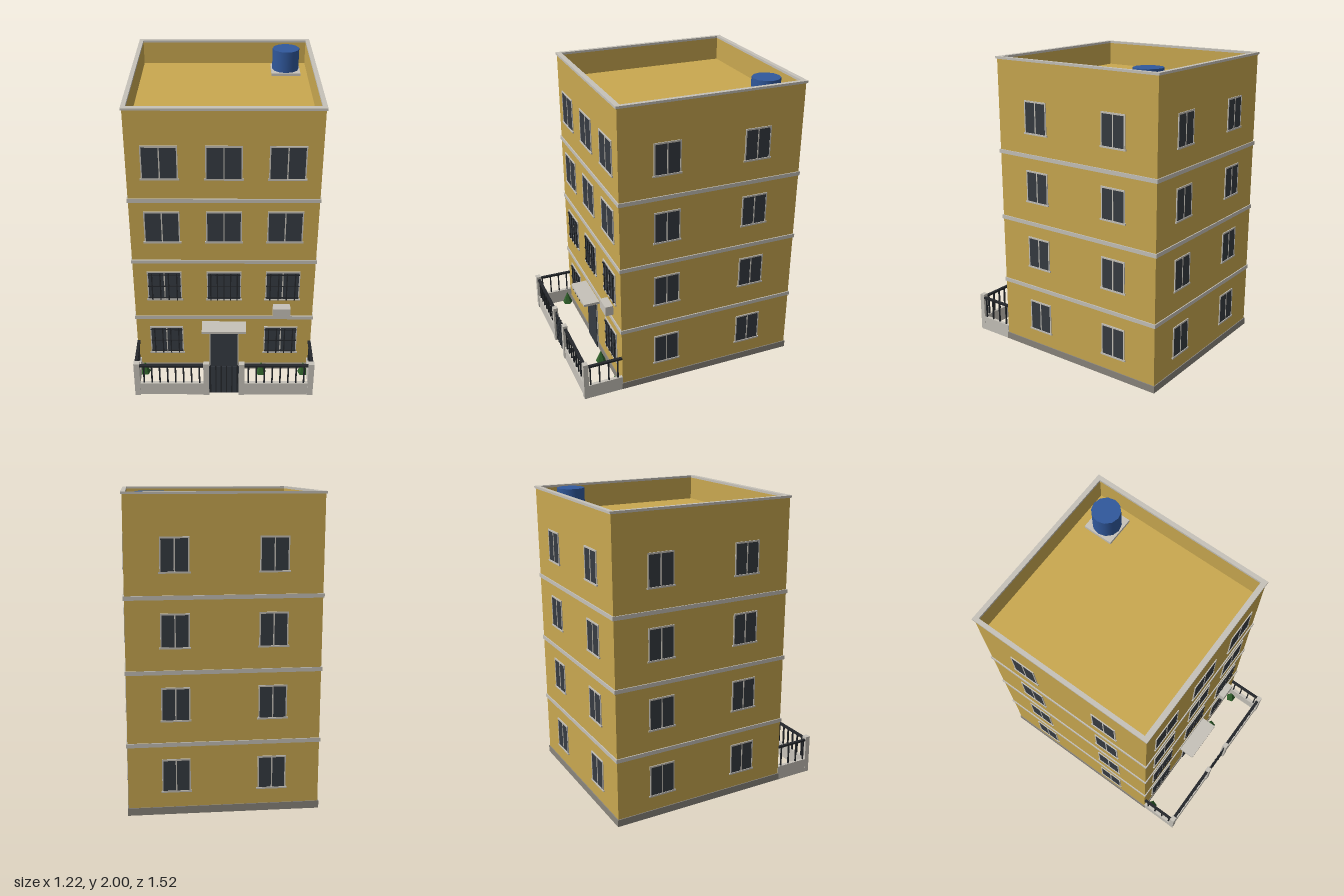
import * as THREE from 'three';

const mat = (name, color) => {
  const m = new THREE.MeshStandardMaterial({ color });
  m.name = name;
  return m;
};

export function createModel() {
  const wall = mat('ochre wall', 0xc9a850);
  const trim = mat('pale concrete', 0xc6c2b9);
  const plinthMat = mat('plinth grey', 0x8a857c);
  const glass = mat('dark glass', 0x363b42);
  const iron = mat('black iron', 0x24272b);
  const blue = mat('tank blue', 0x30589c);
  const green = mat('leaf green', 0x2f5f2a);
  green.flatShading = true;

  const model = new THREE.Group();
  model.name = 'apartmentBuilding';

  const add = (parent, name, geometry, material, x = 0, y = 0, z = 0) => {
    const mesh = new THREE.Mesh(geometry, material);
    mesh.name = name;
    mesh.position.set(x, y, z);
    parent.add(mesh);
    return mesh;
  };
  // Box given by its minimum and maximum corners
  const box = (parent, name, material, x0, x1, y0, y1, z0, z1) =>
    add(parent, name, new THREE.BoxGeometry(x1 - x0, y1 - y0, z1 - z0), material,
      (x0 + x1) / 2, (y0 + y1) / 2, (z0 + z1) / 2);
  const group = (name, x = 0, y = 0, z = 0) => {
    const g = new THREE.Group();
    g.name = name;
    g.position.set(x, y, z);
    model.add(g);
    return g;
  };

  // Building footprint
  const X = 0.6, ZB = -0.75, ZF = 0.49, ROOF = 1.83;

  // Rectangular ring around the roof edge
  const ring = (name, material, out, y0, y1) => {
    const rect = (target, x, zb, zf) => {
      target.moveTo(-x, -zf);
      target.lineTo(x, -zf);
      target.lineTo(x, -zb);
      target.lineTo(-x, -zb);
      target.closePath();
      return target;
    };
    const shape = rect(new THREE.Shape(), X + out, ZB - out, ZF + out);
    shape.holes.push(rect(new THREE.Path(), 0.58, -0.727, 0.463));
    const geometry = new THREE.ExtrudeGeometry(shape, { depth: y1 - y0, bevelEnabled: false });
    geometry.rotateX(-Math.PI / 2);
    add(model, name, geometry, material, 0, y0, 0);
  };

  // Walls, parapet, plinth and floor bands
  box(model, 'body', wall, -X, X, 0, ROOF, ZB, ZF);
  ring('parapet', wall, 0, ROOF, 1.985);
  ring('parapetCap', trim, 0.008, 1.985, 2);
  box(model, 'plinth', plinthMat, -X - 0.006, X + 0.006, 0.002, 0.05, ZB - 0.006, ZF + 0.006);
  for (const y of [0.46, 0.919, 1.378]) {
    box(model, 'floorBand', trim, -X - 0.007, X + 0.007, y - 0.013, y + 0.013, ZB - 0.007, ZF + 0.007);
  }

  // Window facing +z, standing on y = 0 of its group
  const makeWindow = (x, y, z, turn, w, h, bars = 0) => {
    const g = group('window', x, y, z);
    g.rotation.y = turn;
    const r = w / 2;
    box(g, 'pane', glass, -r, r, 0.005, h - 0.005, -0.01, 0.004);
    box(g, 'lintel', trim, -r - 0.004, r + 0.004, h - 0.011, h, -0.01, 0.006);
    box(g, 'sill', trim, -r - 0.011, r + 0.011, -0.003, 0.008, -0.01, 0.009);
    for (const s of [-1, 0, 1]) {
      const c = s * r;
      box(g, 'frameUpright', trim, c - 0.004, c + 0.004, 0, h, -0.01, 0.006);
    }
    // Iron security grille
    for (let i = 0; i < bars; i++) {
      const c = -r + (w * (i + 0.5)) / bars;
      box(g, 'grilleBar', iron, c - 0.004, c + 0.004, 0.002, h - 0.012, 0.007, 0.013);
    }
    if (bars) {
      for (const t of [0.1, 0.5, 0.9]) {
        box(g, 'grilleRail', iron, -r, r, h * t - 0.003, h * t + 0.003, 0.007, 0.013);
      }
    }
  };

  [0.15, 0.61, 1.068, 1.526].forEach((y, floor) => {
    for (const x of [-0.395, 0, 0.39]) {
      if (floor === 0 && x === 0) continue;
      const bars = floor > 1 ? 0 : x === 0 ? 5 : 4;
      makeWindow(x, y, ZF, 0, 0.22, 0.23, bars);
    }
    for (const z of [0.175, -0.435]) {
      makeWindow(X, y, z, Math.PI / 2, 0.17, 0.215);
      makeWindow(-X, y, z, -Math.PI / 2, 0.17, 0.215);
    }
    for (const x of [-0.3, 0.3]) makeWindow(x, y, ZB, Math.PI, 0.17, 0.215);
  });

  // Entrance door, canopy and air conditioner
  box(model, 'doorFrame', trim, -0.102, 0.102, 0, 0.385, ZF - 0.01, ZF + 0.007);
  box(model, 'door', glass, -0.095, 0.095, 0, 0.375, ZF - 0.01, ZF + 0.012);
  box(model, 'canopy', trim, -0.15, 0.15, 0.405, 0.423, ZF, 0.603);
  box(model, 'airConditioner', trim, 0.33, 0.446, 0.502, 0.57, ZF, 0.545);

  // Front yard fence, mirrored left and right
  const fence = group('fence');
  for (const s of [-1, 1]) {
    const span = (name, m, a, b, y0, y1, z0, z1) =>
      box(fence, name, m, Math.min(s * a, s * b), Math.max(s * a, s * b), y0, y1, z0, z1);
    span('frontLowWall', trim, 0.1, 0.603, 0, 0.1, 0.731, 0.754);
    span('sideLowWall', trim, 0.58, 0.603, 0, 0.1, ZF, 0.74);
    span('gatePost', trim, 0.1, 0.138, 0, 0.272, 0.726, 0.76);
    span('cornerPost', trim, 0.566, 0.604, 0, 0.272, 0.726, 0.76);
    span('frontRail', iron, 0.138, 0.566, 0.241, 0.254, 0.732, 0.753);
    span('sideRail', iron, 0.582, 0.602, 0.241, 0.254, ZF, 0.727);
    for (let i = 0; i < 8; i++) {
      const x = 0.165 + i * 0.0535;
      span('frontBar', iron, x - 0.005, x + 0.005, 0.1, 0.245, 0.738, 0.748);
    }
    for (let i = 0; i < 4; i++) {
      const z = 0.52 + i * 0.064;
      span('sideBar', iron, 0.587, 0.597, 0.1, 0.245, z - 0.004, z + 0.004);
    }
  }

  // Gate
  box(fence, 'gatePanel', glass, -0.1, 0.1, 0.01, 0.245, 0.74, 0.745);
  for (let i = 0; i < 6; i++) {
    const x = -0.09 + i * 0.036;
    box(fence, 'gateBar', iron, x - 0.004, x + 0.004, 0.01, 0.25, 0.738, 0.748);
  }

  // Small shrubs
  for (const x of [-0.555, 0.26, 0.555]) {
    const shrub = add(model, 'shrub', new THREE.ConeGeometry(0.038, 0.09, 5), green, x, 0.045, 0.53);
    shrub.rotation.y = Math.PI;
  }

  // Roof water tank on its slab
  box(model, 'tankSlab', trim, 0.33, 0.53, ROOF, 1.85, -0.667, -0.465);
  add(model, 'waterTank', new THREE.CylinderGeometry(0.093, 0.093, 0.147, 12), blue, 0.43, 1.9235, -0.566);

  return model;
}
